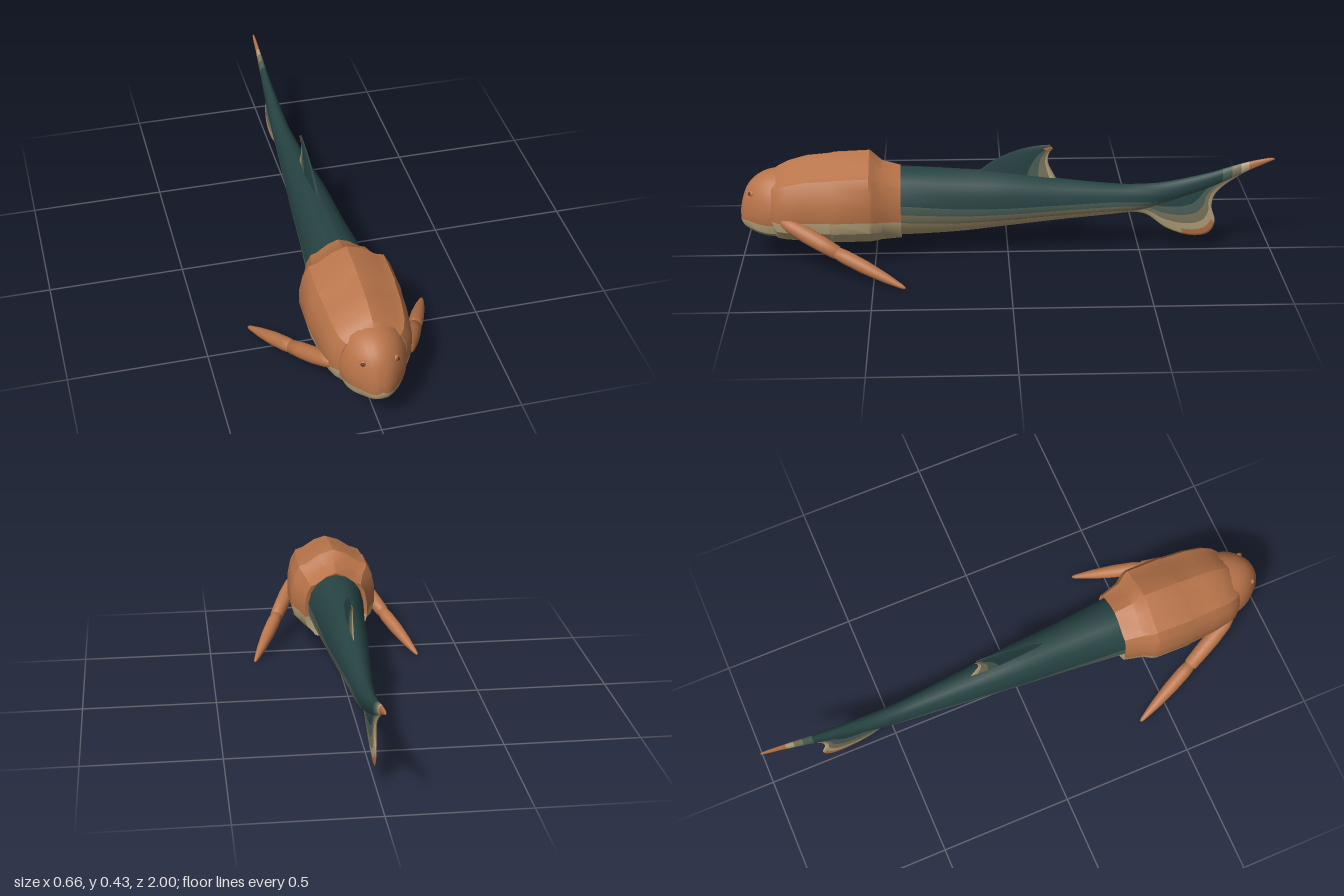
import * as THREE from 'three';
import { toCreasedNormals } from 'three/addons/utils/BufferGeometryUtils.js';

const mat = (name, color, side = THREE.FrontSide) => {
  const m = new THREE.MeshStandardMaterial({ color, side });
  m.name = name;
  return m;
};

// Colour slots used by every skin
const ORANGE = 0, CREAM = 1, DARK = 2, TEAL = 3, OLIVE = 4;

// Smoothly resample a list of number rows to n + 1 rows
function resample(keys, n) {
  const curves = keys[0].map((_, k) => new THREE.SplineCurve(keys.map((r, i) => new THREE.Vector2(i, r[k]))));
  return Array.from({ length: n + 1 }, (_, i) => curves.map((c) => c.getPoint(i / n).y));
}

// Closed rings of points joined into a skin; paint(i, j) picks each quad's colour slot
function skin(rings, paint, crease = 0) {
  const m = rings[0].length, lists = [[], [], [], [], []];
  for (let i = 0; i < rings.length - 1; i++) {
    for (let j = 0; j < m; j++) {
      const a = i * m + j, b = i * m + (j + 1) % m;
      lists[paint(i, j)].push(a, b, b + m, a, b + m, a + m);
    }
  }
  const geo = new THREE.BufferGeometry();
  geo.setAttribute('position', new THREE.Float32BufferAttribute(rings.flat(2), 3));
  geo.setIndex(lists.flat());
  let start = 0;
  lists.forEach((l, k) => {
    if (l.length) geo.addGroup(start, l.length, k);
    start += l.length;
  });
  geo.computeVertexNormals();
  return crease ? toCreasedNormals(geo, crease) : geo;
}

// Mirror a half outline (top to bottom on +x) into a full ring
const mirrorRing = (half) => [...half, ...half.slice(1, -1).reverse().map(([x, y, z]) => [-x, y, z])];

// Armour plating: stations are [z, half width, top, bottom], outline is [x share, height share]
function plating(stations, outline, seam) {
  const rings = stations.map(([z, w, top, bot]) =>
    mirrorRing(outline.map(([x, f]) => [x * w, bot + f * (top - bot), z])));
  const m = rings[0].length;
  return skin(rings, (i, j) => (j >= seam && j < m - seam ? CREAM : ORANGE), 0.5);
}

// Thin fin between a leading and a trailing curve of [z, y] points
function fin(lead, trail, thick, paint) {
  const rows = 60, cols = 20;
  const A = resample(lead, rows), B = resample(trail, rows);
  const rings = A.map(([z, y], i) => {
    const half = [];
    for (let j = 0; j <= cols; j++) {
      const t = j / cols;
      const x = thick * (1 - 0.6 * i / rows) * Math.sin(Math.PI * (0.08 + 0.9 * t));
      half.push([x, y + (B[i][1] - y) * t, z + (B[i][0] - z) * t]);
    }
    return mirrorRing(half);
  });
  return skin(rings, (i, j) => paint((i + 0.5) / rows, (Math.min(j, 2 * cols - 1 - j) + 0.5) / cols));
}

const bandAt = (v, a, b, c) => (v < a ? DARK : v < b ? TEAL : v < c ? OLIVE : CREAM);

export function createModel() {
  const group = new THREE.Group();
  const orange = mat('copper armour', 0xb87449);
  const eyeMat = mat('dark brown eye', 0x5a3a28);
  const skins = [
    orange, mat('cream belly', 0xb8a47c), mat('deep teal back', 0x274343),
    mat('grey teal band', 0x4c6057), mat('olive band', 0x7d775e),
  ];
  const shellSkins = skins.map((m) => {
    const c = m.clone();
    c.side = THREE.DoubleSide;
    return c;
  });
  const add = (name, geo, material, parent = group) => {
    const mesh = new THREE.Mesh(geo, material);
    mesh.name = name;
    parent.add(mesh);
    return mesh;
  };

  // Trunk shield with a ridged back
  add('trunkShield', plating([
    [0.885, 0.02, 0.25, 0.18], [0.875, 0.118, 0.345, 0.105], [0.855, 0.138, 0.362, 0.094],
    [0.82, 0.152, 0.38, 0.09], [0.75, 0.162, 0.4, 0.086], [0.66, 0.168, 0.408, 0.082],
    [0.65, 0.171, 0.412, 0.08], [0.515, 0.169, 0.418, 0.08], [0.5, 0.164, 0.405, 0.082],
    [0.47, 0.143, 0.378, 0.084], [0.4, 0.124, 0.358, 0.086], [0.405, 0.105, 0.34, 0.1],
  ], [[0, 1], [0.3, 0.95], [0.62, 0.84], [0.8, 0.81], [0.93, 0.69], [1, 0.52], [1, 0.34],
    [0.93, 0.2], [0.65, 0.05], [0.3, 0.01], [0, 0]], 6), shellSkins);

  // Rounded head shield and lower jaw
  const headRows = resample([
    [0.85, 0.124, 0.352, 0.098], [0.895, 0.114, 0.343, 0.1], [0.935, 0.093, 0.324, 0.108],
    [0.967, 0.064, 0.293, 0.12], [0.987, 0.042, 0.25, 0.132], [0.998, 0.02, 0.205, 0.148],
    [1, 0, 0.18, 0.17],
  ], 18).reverse();
  add('headShield', plating(headRows, [[0, 1], [0.22, 0.985], [0.42, 0.95], [0.62, 0.885], [0.8, 0.78],
    [0.93, 0.62], [1, 0.44], [0.97, 0.27], [0.85, 0.12], [0.55, 0.03], [0, 0]], 7), skins);
  const lip = add('upperLip', new THREE.SphereGeometry(1, 20, 12), orange);
  lip.position.set(0, 0.162, 0.982);
  lip.scale.set(0.036, 0.007, 0.014);

  // Tapering body with colour bands: [z, half width, top, bottom, three band heights as shares]
  const steps = 4;
  const bodyRows = resample([
    [0.46, 0.115, 0.35, 0.088, 0.57, 0.44, 0.31], [0.36, 0.106, 0.348, 0.086, 0.55, 0.42, 0.29],
    [0.18, 0.088, 0.338, 0.094, 0.48, 0.36, 0.23], [0, 0.076, 0.325, 0.113, 0.44, 0.32, 0.2],
    [-0.2, 0.058, 0.294, 0.134, 0.47, 0.33, 0.2], [-0.4, 0.041, 0.272, 0.152, 0.5, 0.34, 0.18],
    [-0.5, 0.034, 0.27, 0.165, 0.4, 0.24, 0.1], [-0.6, 0.028, 0.279, 0.195, 0.15, 0.08, 0.03],
    [-0.75, 0.018, 0.31, 0.248, 0.1, 0.06, 0.02], [-0.89, 0.009, 0.35, 0.312, 0.1, 0.06, 0.02],
    [-0.98, 0.005, 0.367, 0.352, 0.1, 0.06, 0.02], [-1, 0, 0.364, 0.36, 0.1, 0.06, 0.02],
  ], 88);
  const bodyRings = bodyRows.map(([z, w, top, bot, ...shares]) => {
    const stops = [0, ...shares.map((f) => Math.acos(2 * f - 1)), Math.PI];
    const half = [];
    for (let b = 0; b < 4; b++) {
      for (let s = b ? 1 : 0; s <= steps; s++) {
        const t = stops[b] + (stops[b + 1] - stops[b]) * s / steps;
        half.push([w * Math.sin(t), (top + bot) / 2 + Math.cos(t) * (top - bot) / 2, z]);
      }
    }
    return mirrorRing(half);
  });
  const bands = [DARK, TEAL, OLIVE, CREAM];
  add('body', skin(bodyRings, (i, j) => {
    const z = bodyRows[i][0];
    if (z < -0.9) return ORANGE;
    if (z < -0.87) return CREAM;
    if (z < -0.84) return OLIVE;
    if (z < -0.8) return TEAL;
    return bands[Math.floor(Math.min(j, 8 * steps - 1 - j) / steps)];
  }), skins);

  // Dorsal fin with pale trailing edge and copper tip
  add('dorsalFin', fin(
    [[0.12, 0.325], [0.05, 0.375], [-0.03, 0.411], [-0.1, 0.427], [-0.155, 0.431]],
    [[-0.19, 0.28], [-0.168, 0.32], [-0.15, 0.36], [-0.152, 0.395], [-0.168, 0.415]], 0.009,
    (u, v) => (u > 0.8 && v > 0.4 ? ORANGE : bandAt(v, 0.58, 0.74, 0.88))), skins);

  // Tail fin lobe hanging below the upturned tail
  add('tailFin', fin(
    [[-0.45, 0.2], [-0.52, 0.21], [-0.57, 0.22], [-0.62, 0.23], [-0.66, 0.24], [-0.69, 0.25],
      [-0.73, 0.265], [-0.78, 0.285], [-0.88, 0.325], [-0.97, 0.36]],
    [[-0.44, 0.157], [-0.52, 0.148], [-0.6, 0.09], [-0.69, 0.058], [-0.76, 0.066], [-0.785, 0.115],
      [-0.77, 0.18], [-0.793, 0.24], [-0.88, 0.305], [-0.97, 0.352]], 0.011,
    (u, v) => {
      if (u > 0.9 || (u > 0.3 && u < 0.53 && v > 0.84)) return ORANGE;
      return bandAt(v, 0.32, 0.52, 0.72);
    }), skins);

  // Jointed armoured arms and eyes on both sides
  const limb = (name, parent, from, to, radii) => {
    const dir = to.clone().sub(from), len = dir.length();
    const profile = radii.map(([r, t]) => new THREE.Vector2(r, t * len));
    const mesh = add(name, new THREE.LatheGeometry(profile, 20), orange, parent);
    mesh.position.copy(from);
    mesh.quaternion.setFromUnitVectors(new THREE.Vector3(0, 1, 0), dir.normalize());
  };
  for (const [side, s] of [['left', 1], ['right', -1]]) {
    const arm = new THREE.Group();
    arm.name = side + 'Arm';
    const shoulder = new THREE.Vector3(s * 0.135, 0.187, 0.825);
    const elbow = new THREE.Vector3(s * 0.222, 0.1, 0.63);
    const tip = new THREE.Vector3(s * 0.328, 0.003, 0.382);
    limb('upperArm', arm, shoulder, elbow,
      [[0, -0.06], [0.018, -0.04], [0.026, 0.1], [0.03, 0.4], [0.029, 0.7], [0.026, 0.98], [0, 1.03]]);
    limb('lowerArm', arm, elbow, tip,
      [[0, -0.04], [0.022, -0.02], [0.026, 0.12], [0.025, 0.4], [0.018, 0.7], [0.009, 0.93], [0.005, 0.985], [0, 1]]);
    group.add(arm);
    const socket = add(side + 'EyeSocket', new THREE.SphereGeometry(0.012, 16, 12), orange);
    socket.position.set(s * 0.056, 0.272, 0.949);
    const eye = add(side + 'Eye', new THREE.SphereGeometry(0.007, 14, 10), eyeMat);
    eye.position.set(s * 0.06, 0.274, 0.957);
  }
  return group;
}
